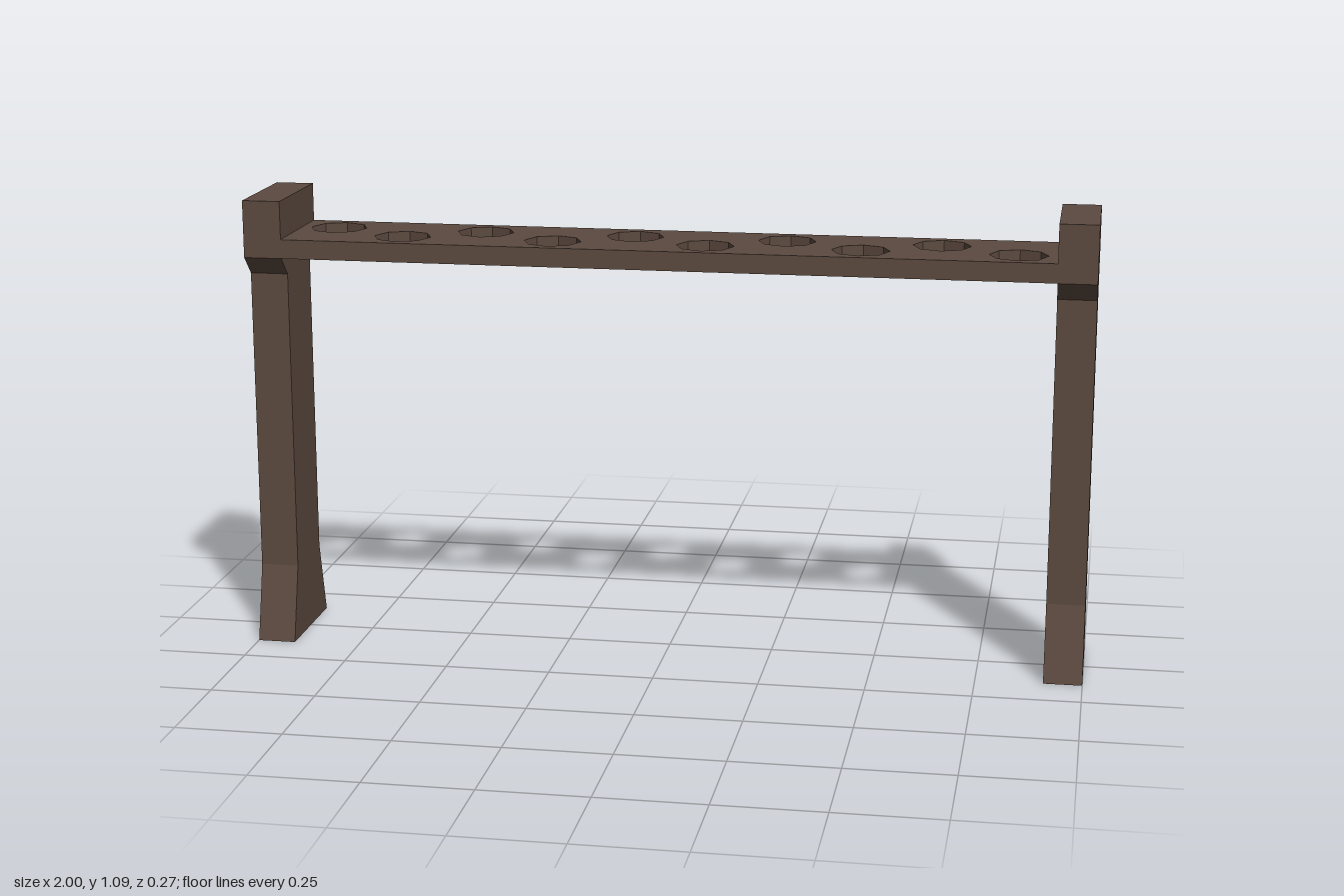
import * as THREE from 'three';

const U = 1 / 11; // thickness of an end post
const HALF_DEPTH = 1.5 * U;

export function createModel() {
  const group = new THREE.Group();
  const wood = new THREE.MeshStandardMaterial({ color: 0x5c4a40, flatShading: true });

  // End post: flared foot, straight shaft, wider head
  const halfProfile = [[HALF_DEPTH, 0], [U, 2 * U], [U, 10 * U], [HALF_DEPTH, 10.5 * U], [HALF_DEPTH, 12 * U]];
  const profile = [...halfProfile, ...halfProfile.map(([z, y]) => [-z, y]).reverse()];
  const postShape = new THREE.Shape(profile.map(([z, y]) => new THREE.Vector2(z, y)));
  const postGeometry = new THREE.ExtrudeGeometry(postShape, { depth: U, bevelEnabled: false });
  postGeometry.translate(0, 0, -U / 2).rotateY(Math.PI / 2);
  for (const [name, side] of [['leftPost', 1], ['rightPost', -1]]) {
    const post = new THREE.Mesh(postGeometry, wood);
    post.name = name;
    post.position.x = side * (1 - U / 2);
    group.add(post);
  }

  // Rack board between the posts
  const halfLength = 1 - U;
  const boardShape = new THREE.Shape([
    new THREE.Vector2(-halfLength, -HALF_DEPTH),
    new THREE.Vector2(halfLength, -HALF_DEPTH),
    new THREE.Vector2(halfLength, HALF_DEPTH),
    new THREE.Vector2(-halfLength, HALF_DEPTH),
  ]);

  // Two staggered rows of octagonal holes
  const holeRadius = 0.75 * U;
  for (let i = 0; i < 10; i++) {
    const x = (2 * i - 9) * U;
    const z = (i % 2 ? 0.5 : -0.5) * U;
    const corners = [];
    for (let k = 0; k < 8; k++) {
      const a = -k * Math.PI / 4;
      corners.push(new THREE.Vector2(x + holeRadius * Math.cos(a), z + holeRadius * Math.sin(a)));
    }
    boardShape.holes.push(new THREE.Path(corners));
  }
  const boardGeometry = new THREE.ExtrudeGeometry(boardShape, { depth: U / 2, bevelEnabled: false });
  boardGeometry.rotateX(Math.PI / 2).translate(0, 11 * U, 0);
  const board = new THREE.Mesh(boardGeometry, wood);
  board.name = 'rackBoard';
  group.add(board);

  return group;
}
